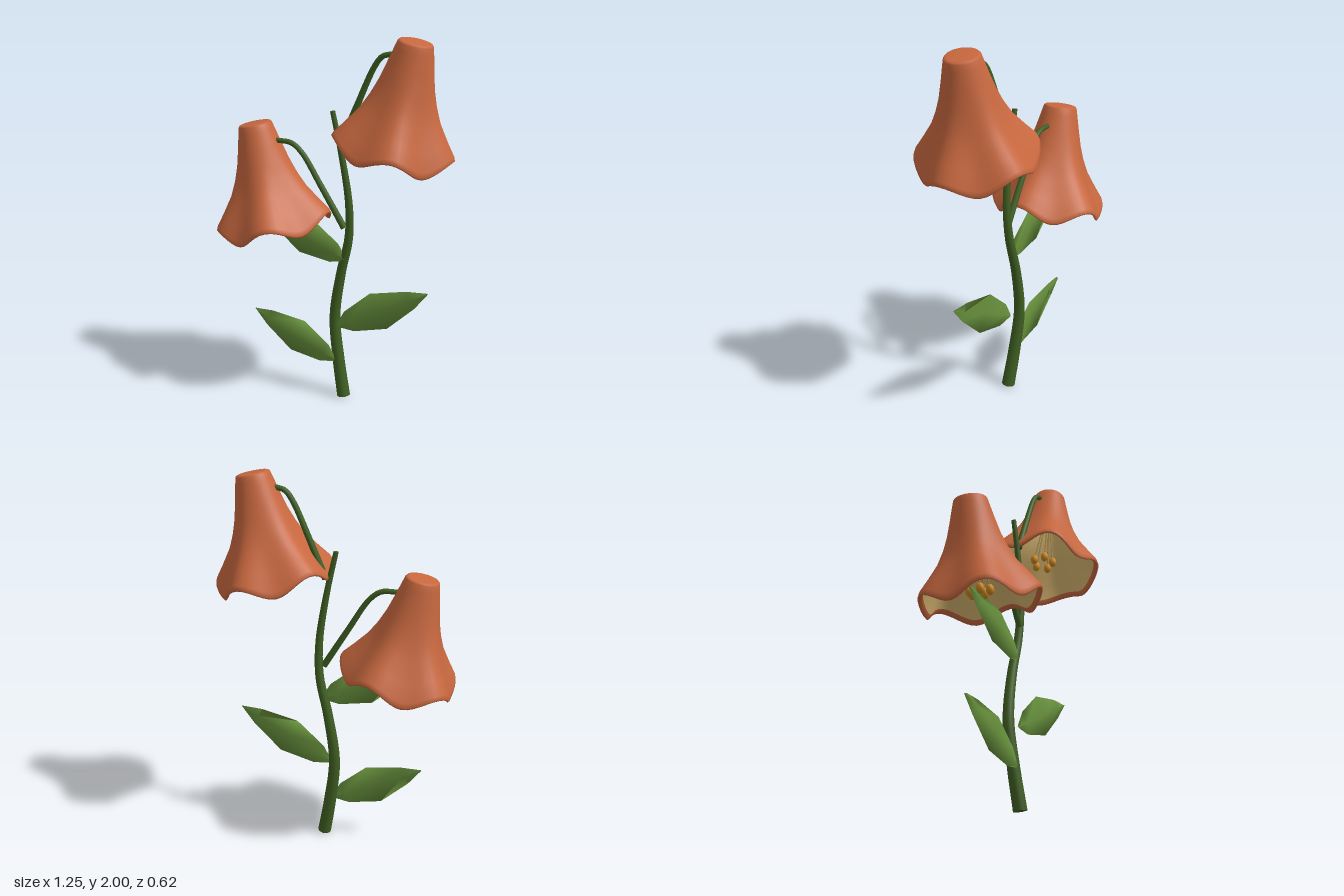
import * as THREE from 'three';
import { mergeVertices } from 'three/addons/utils/BufferGeometryUtils.js';

const mat = (color, side = THREE.FrontSide) => new THREE.MeshStandardMaterial({ color, side, roughness: 0.8 });
const stemMat = mat(0x3f5f22);
const leafMat = mat(0x67903c, THREE.DoubleSide);
const petalMat = mat(0xc8683f);
const innerMat = mat(0xd8b670);
const antherMat = mat(0xd08a20);
const filamentMat = mat(0xa88a48);

function add(parent, name, geometry, material) {
  const mesh = new THREE.Mesh(geometry, material);
  mesh.name = name;
  parent.add(mesh);
  return mesh;
}

// Tube whose radius runs from r0 to r1, closed at both ends
function taperedTube(points, r0, r1, segments = 32, sides = 10) {
  const curve = new THREE.CatmullRomCurve3(points.map(p => new THREE.Vector3(...p)));
  const geo = new THREE.TubeGeometry(curve, segments, 1, sides);
  const pos = geo.attributes.position, v = new THREE.Vector3();
  for (let i = 0; i < pos.count; i++) {
    const t = Math.floor(i / (sides + 1)) / segments;
    const c = curve.getPointAt(t);
    v.fromBufferAttribute(pos, i).sub(c).multiplyScalar(r0 + (r1 - r0) * t).add(c);
    pos.setXYZ(i, v.x, v.y, v.z);
  }
  const group = new THREE.Group();
  add(group, 'tube', geo, stemMat);
  [[0, r0, -1], [1, r1, 1]].forEach(([t, r, s]) => {
    const cap = add(group, 'tubeEnd', new THREE.CircleGeometry(r, sides), stemMat);
    cap.position.copy(curve.getPointAt(t));
    cap.quaternion.setFromUnitVectors(new THREE.Vector3(0, 0, 1), curve.getTangentAt(t).multiplyScalar(s));
  });
  return group;
}

// Lathe turned into a five-cornered bell with a wavy rim
function bellGeometry(profile) {
  const geo = new THREE.LatheGeometry(profile.map(p => new THREE.Vector2(...p)), 60);
  const pos = geo.attributes.position;
  for (let i = 0; i < pos.count; i++) {
    const x = pos.getX(i), y = pos.getY(i), z = pos.getZ(i);
    const wave = Math.min(1, (y / 0.56) ** 2) * Math.cos(5 * Math.atan2(z, x));
    const s = 1 + 0.05 * wave;
    pos.setXYZ(i, x * s, y + 0.035 * wave, z * s);
  }
  geo.deleteAttribute('uv');
  geo.deleteAttribute('normal');
  const merged = mergeVertices(geo, 1e-5);
  merged.computeVertexNormals();
  return merged;
}

// Hanging bell flower, its origin at the top of the cap
function flower(name, x, y, tilt) {
  const g = new THREE.Group();
  g.name = name;
  add(g, 'petalBell', bellGeometry([
    [0.276, -0.535], [0.284, -0.55], [0.296, -0.558], [0.303, -0.548], [0.296, -0.525], [0.255, -0.46],
    [0.2, -0.37], [0.165, -0.29], [0.138, -0.21], [0.115, -0.12], [0.096, -0.04],
    [0.088, -0.008], [0.082, -0.001], [0.07, 0.002], [0, 0.003],
  ]), petalMat);
  add(g, 'bellLining', bellGeometry([
    [0, -0.03], [0.07, -0.03], [0.1, -0.12], [0.122, -0.21], [0.149, -0.29],
    [0.184, -0.37], [0.24, -0.46], [0.276, -0.535],
  ]), innerMat);
  // Stamens
  for (let i = 0; i < 5; i++) {
    const a = (i / 5) * Math.PI * 2;
    const dx = Math.cos(a), dz = Math.sin(a);
    const path = new THREE.QuadraticBezierCurve3(
      new THREE.Vector3(dx * 0.015, -0.03, dz * 0.015),
      new THREE.Vector3(dx * 0.025, -0.3, dz * 0.025),
      new THREE.Vector3(dx * 0.055, -0.48, dz * 0.055));
    add(g, 'filament', new THREE.TubeGeometry(path, 8, 0.004, 5), filamentMat);
    const anther = add(g, 'anther', new THREE.SphereGeometry(0.021, 12, 8), antherMat);
    anther.scale.y = 1.4;
    anther.position.set(dx * 0.055, -0.49, dz * 0.055);
  }
  g.position.set(x, y, 0);
  g.rotation.z = tilt;
  return g;
}

// Pointed leaf along +x: lens-shaped cross-sections with a midrib ridge
function leafGeometry() {
  const sections = [[0, 0.012], [0.07, 0.06], [0.25, 0.105], [0.44, 0.05], [0.54, 0.002]];
  const verts = [], index = [];
  sections.forEach(([x, w], i) => {
    const bend = 0.015 * Math.sin((x / 0.54) * Math.PI);
    verts.push(x, w, 0, x, 0, bend + 0.007, x, -w, 0, x, 0, bend - 0.007);
    if (i === 0) return;
    for (let k = 0; k < 4; k++) {
      const a = (i - 1) * 4 + k, b = (i - 1) * 4 + ((k + 1) % 4);
      index.push(a, b, a + 4, b, b + 4, a + 4);
    }
  });
  const geo = new THREE.BufferGeometry();
  geo.setAttribute('position', new THREE.Float32BufferAttribute(verts, 3));
  geo.setIndex(index);
  geo.computeVertexNormals();
  return geo;
}

export function createModel() {
  const model = new THREE.Group();
  model.name = 'bellFlowerPlant';

  // Main stem and the two flower stalks
  const stem = taperedTube([
    [0.05, 0.007, 0], [0.012, 0.22, -0.016], [-0.015, 0.46, -0.03], [0.02, 0.72, -0.03],
    [0.068, 0.93, -0.02], [0.073, 1.12, -0.008], [0.035, 1.38, 0], [-0.015, 1.605, 0],
  ], 0.036, 0.013, 48);
  stem.name = 'stem';
  const lowerStalk = taperedTube([
    [0.05, 0.99, 0], [-0.08, 1.2, 0], [-0.19, 1.37, 0], [-0.25, 1.415, 0], [-0.34, 1.42, 0],
  ], 0.018, 0.013);
  lowerStalk.name = 'lowerStalk';
  const upperStalk = taperedTube([
    [0.04, 1.46, 0], [0.12, 1.65, 0], [0.21, 1.85, 0], [0.25, 1.9, 0], [0.31, 1.915, 0], [0.37, 1.93, 0],
  ], 0.018, 0.013);
  upperStalk.name = 'upperStalk';
  model.add(stem, lowerStalk, upperStalk);

  // Flowers
  model.add(flower('lowerFlower', -0.46, 1.5, 0.21), flower('upperFlower', 0.418, 1.98, -0.2));

  // Leaves: base x, y, z and tip x, y
  const leafGeo = leafGeometry();
  [['lowerLeaf', 0, 0.22, 0.01, -0.48, 0.44], ['middleLeaf', 0.02, 0.43, 0.01, 0.52, 0.7],
    ['upperLeaf', 0.05, 0.81, -0.01, -0.43, 1.02]].forEach(([name, x, y, z, tx, ty]) => {
    const leaf = add(model, name, leafGeo, leafMat);
    leaf.position.set(x, y, z);
    leaf.rotation.z = Math.atan2(ty - y, tx - x);
    leaf.scale.x = Math.hypot(tx - x, ty - y) / 0.54;
  });

  return model;
}
